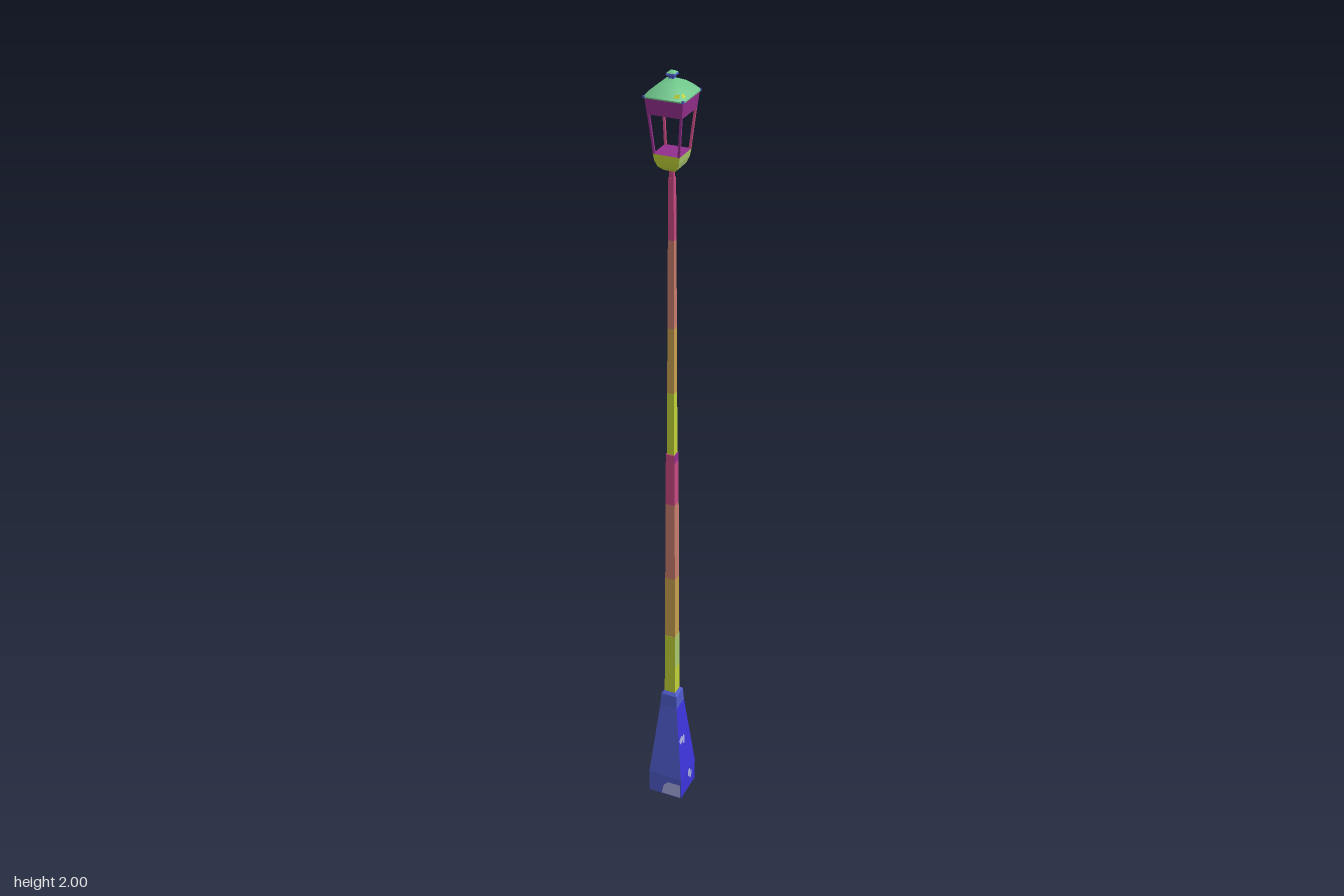
import * as THREE from 'three';

const mat = (name, color) => {
  const m = new THREE.MeshStandardMaterial({ color });
  m.name = name;
  return m;
};

export function createModel() {
  const slate = mat('slate blue', 0x4e5ac8);
  const blue = mat('deep blue', 0x3c34da);
  const pale = mat('pale lavender', 0xa6aae0);
  const lime = mat('yellow green', 0xc0d238);
  const leaf = mat('light green', 0xaac86c);
  const tan = mat('tan', 0xc89e50);
  const salmon = mat('dusty salmon', 0xc67c6c);
  const magenta = mat('magenta', 0xc64a80);
  const purple = mat('purple', 0x922f8c);
  const green = mat('roof green', 0x70c88c);

  const root = new THREE.Group();
  root.name = 'streetLamp';

  const add = (name, geo, material, parent = root) => {
    const mesh = new THREE.Mesh(geo, material);
    mesh.name = name;
    parent.add(mesh);
    return mesh;
  };
  const flat = (geo) => {
    const g = geo.toNonIndexed();
    g.computeVertexNormals();
    return g;
  };

  // Square-section shell from [half width, y] pairs listed upward
  const smoothLoft = (profile, start = 0, sides = 4) => new THREE.LatheGeometry(
    profile.map(([w, y]) => new THREE.Vector2(w * Math.SQRT2, y)),
    sides, -Math.PI / 4 + start * Math.PI / 2, sides * Math.PI / 2);
  const loft = (...args) => flat(smoothLoft(...args));

  // One material per side, in order front, +x, back, -x
  const fourSides = (name, profile, materials, parent = root) => materials.forEach((m, i) => {
    add(name, loft(profile, i, 1), m, parent);
  });

  // Flared pedestal
  const pedestal = new THREE.Group();
  pedestal.name = 'pedestal';
  root.add(pedestal);
  fourSides('pedestalSide', [[0.0465, 0], [0.0465, 0.065], [0.0235, 0.285]], [slate, blue, blue, blue], pedestal);
  add('pedestalCap', loft([[0.0235, 0.285], [0.0215, 0.322], [0.0145, 0.33]]), slate, pedestal);
  add('pedestalUnderside', loft([[0, 0], [0.0465, 0]]), leaf, pedestal);

  // Thin painted plate; turn faces a side, tilt lays it back on a slope
  const plate = (name, pts, material, [x, y, z], turn = 0, tilt = 0, parent = pedestal) => {
    const geo = new THREE.ShapeGeometry(new THREE.Shape(pts.map(([u, v]) => new THREE.Vector2(u, v))));
    const mesh = add(name, geo, material, parent);
    mesh.rotation.set(-tilt, turn, 0, 'YXZ');
    mesh.position.set(x, y, z);
  };

  // Worn patches on the pedestal
  const lean = Math.atan2(0.023, 0.22);
  const right = Math.PI / 2;
  const chip = [[-0.011, -0.008], [0.003, -0.011], [0.011, 0.003], [0.003, 0.01], [-0.012, 0.006]];
  const tallChip = chip.map(([u, v]) => [u * 0.6, v * 1.4]);
  plate('frontPatch', [[-0.01, 0.002], [0.045, 0.002], [0.045, 0.045], [0.008, 0.045], [-0.004, 0.03]],
    pale, [0, 0, 0.047]);
  plate('sideChip', tallChip, pale, [0.047, 0.052, -0.008], right);
  plate('sideChip', tallChip, pale, [0.047, 0.04, -0.018], right);
  plate('sideChip', chip, pale, [0.0351, 0.18, 0.018], right, lean);
  plate('sideChip', tallChip, pale, [0.0356, 0.175, 0.004], right, lean);
  plate('sidePatch', [[-0.024, -0.07], [0.02, -0.07], [0.017, 0.05], [-0.017, 0.05]],
    slate, [-0.0351, 0.18, 0], -right, lean);
  plate('backPatch', [[-0.004, -0.03], [0.018, -0.03], [0.015, 0.05], [-0.004, 0.05]],
    slate, [0, 0.2, -0.033], Math.PI, lean);

  // Two-stage pole in coloured bands: bottom, top, half widths, colour, then +x and back colours
  const bands = [
    [0.325, 0.41, 0.0148, 0.0145, lime, lime, lime],
    [0.41, 0.51, 0.0145, 0.0142, lime, leaf, leaf],
    [0.51, 0.69, 0.0138, 0.0132, tan, tan, tan],
    [0.69, 0.91, 0.0132, 0.0122, salmon, salmon, salmon],
    [0.91, 1.03, 0.0122, 0.0117, magenta, magenta, magenta],
    [1.03, 1.052, 0.0117, 0.0115, magenta, purple, magenta],
    [1.052, 1.22, 0.0095, 0.009, lime, lime, lime],
    [1.22, 1.39, 0.009, 0.0083, tan, tan, tan],
    [1.39, 1.61, 0.0083, 0.0074, salmon, salmon, salmon],
    [1.61, 1.758, 0.0074, 0.0066, magenta, magenta, magenta],
  ];
  bands.forEach(([y0, y1, w0, w1, m, side, back], i) => {
    const next = bands[i + 1] ? bands[i + 1][2] : 0.005;
    fourSides('poleBand', [[w0, y0], [w1, y1], [Math.min(next, w1), y1]], [m, side, back, m]);
  });
  add('poleNeck', loft([[0.005, 1.758], [0.005, 1.775], [0.009, 1.78]]), magenta);

  // Open lantern
  const lantern = new THREE.Group();
  lantern.name = 'lantern';
  root.add(lantern);
  fourSides('lanternBowl', [[0, 1.776], [0.014, 1.778], [0.024, 1.788], [0.0295, 1.803], [0.032, 1.819]],
    [lime, leaf, leaf, lime], lantern);
  add('lanternFloor', loft([[0.032, 1.819], [0, 1.819]]), purple, lantern);

  // Slanted corner bars
  for (const sx of [-1, 1]) {
    for (const sz of [-1, 1]) {
      const geo = new THREE.BoxGeometry(0.005, 0.096, 0.005);
      const p = geo.attributes.position;
      for (let i = 0; i < p.count; i++) {
        const out = p.getY(i) > 0 ? 0.0385 : 0.0292;
        p.setXYZ(i, p.getX(i) + sx * out, p.getY(i) + 1.865, p.getZ(i) + sz * out);
      }
      add('cornerBar', flat(geo), sz > 0 ? purple : magenta, lantern);
    }
  }

  // Band, ceiling, roof and finial
  fourSides('lanternBand', [[0.041, 1.91], [0.045, 1.947]], [purple, purple, magenta, magenta], lantern);
  add('lanternCeiling', loft([[0, 1.91], [0.041, 1.91]]), leaf, lantern);
  add('roofEave', loft([[0.045, 1.947], [0.0475, 1.947], [0.0475, 1.95]]), green, lantern);
  add('roof', smoothLoft([[0.0475, 1.95], [0.036, 1.963], [0.022, 1.975], [0.006, 1.983]]), green, lantern);
  for (const sx of [-1, 1]) {
    for (const sz of [-1, 1]) {
      add('eaveCorner', new THREE.BoxGeometry(0.005, 0.005, 0.005), slate, lantern)
        .position.set(sx * 0.0452, 1.95, sz * 0.0452);
    }
  }
  const speck = [[-0.007, -0.004], [0.006, -0.004], [0.005, 0.005], [-0.006, 0.004]];
  plate('roofSpeck', speck, lime, [0.03, 1.9585, 0.0412], 0, Math.atan2(0.0115, 0.013), lantern);
  plate('roofSpeck', speck, lime, [0.0412, 1.9585, 0.032], right, Math.atan2(0.0115, 0.013), lantern);
  add('finial', loft([[0.006, 1.982], [0.006, 1.986], [0.011, 1.991], [0.01, 1.995]]), slate, lantern);
  add('finialTip', loft([[0.01, 1.995], [0.005, 1.999], [0, 2]]), green, lantern);

  return root;
}
